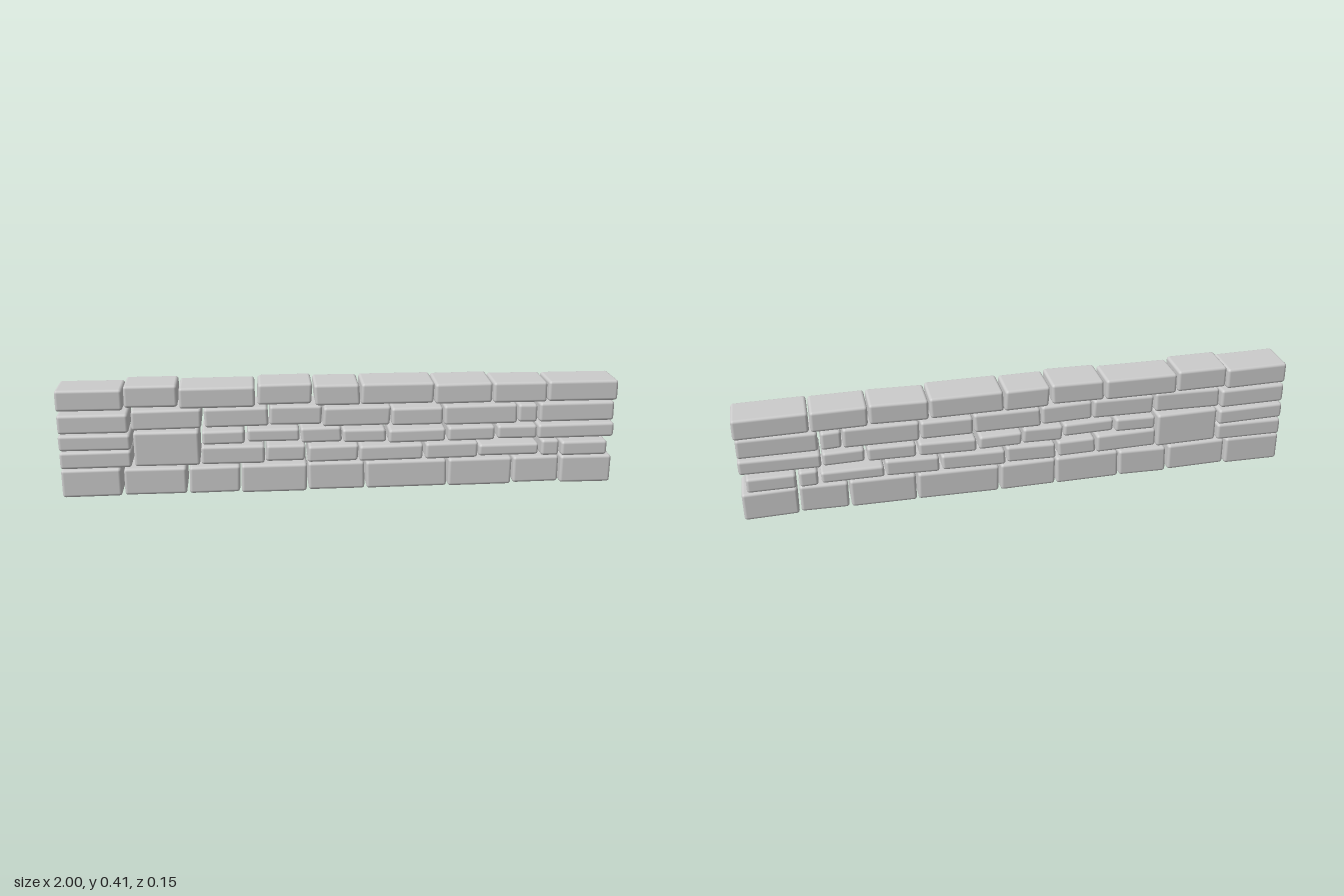
import * as THREE from 'three';
import { RoundedBoxGeometry } from 'three/addons/geometries/RoundedBoxGeometry.js';

// Each stone: [left, right, bottom, top], one list per course
const bottomCourse = [
  [-1, -0.79, 0.006, 0.11], [-0.78, -0.56, 0.01, 0.11], [-0.55, -0.37, 0.008, 0.108],
  [-0.365, -0.13, 0.005, 0.11], [-0.125, 0.078, 0.007, 0.11], [0.085, 0.378, 0.006, 0.108],
  [0.385, 0.618, 0.006, 0.11], [0.625, 0.793, 0.01, 0.11], [0.8, 0.99, 0.004, 0.108],
];
const secondCourse = [
  [-1, -0.75, 0.113, 0.176], [-0.505, -0.28, 0.118, 0.186], [-0.275, -0.135, 0.12, 0.18],
  [-0.125, 0.055, 0.115, 0.176], [0.06, 0.29, 0.112, 0.17], [0.3, 0.49, 0.114, 0.174],
  [0.495, 0.715, 0.116, 0.16], [0.725, 0.79, 0.112, 0.172], [0.8, 0.97, 0.11, 0.165],
];
const thirdCourse = [
  [-1, -0.75, 0.18, 0.238], [-0.5, -0.35, 0.192, 0.243], [-0.34, -0.155, 0.198, 0.246],
  [-0.15, -0.005, 0.187, 0.244], [0, 0.155, 0.184, 0.234], [0.165, 0.37, 0.18, 0.23],
  [0.38, 0.55, 0.181, 0.234], [0.56, 0.705, 0.184, 0.234], [0.71, 0.99, 0.18, 0.234],
];
const fourthCourse = [
  [-1, -0.755, 0.244, 0.314], [-0.745, -0.5, 0.252, 0.325], [-0.49, -0.265, 0.255, 0.325],
  [-0.26, -0.075, 0.255, 0.325], [-0.07, 0.17, 0.247, 0.318], [0.175, 0.36, 0.244, 0.31],
  [0.365, 0.63, 0.241, 0.314], [0.635, 0.705, 0.243, 0.31], [0.715, 0.99, 0.238, 0.31],
];
const topCourse = [
  [-1, -0.77, 0.325, 0.402], [-0.765, -0.58, 0.332, 0.412], [-0.575, -0.31, 0.326, 0.402],
  [-0.3, -0.11, 0.332, 0.408], [-0.1, 0.06, 0.325, 0.402], [0.065, 0.325, 0.325, 0.402],
  [0.33, 0.535, 0.322, 0.397], [0.54, 0.735, 0.318, 0.394], [0.74, 0.995, 0.317, 0.393],
];

function seeded(seed) {
  return () => {
    seed = (seed * 16807) % 2147483647;
    return seed / 2147483647 * 2 - 1;
  };
}

export function createModel() {
  const wall = new THREE.Group();
  wall.name = 'stoneWall';
  const material = new THREE.MeshStandardMaterial({ color: 0xcccccc });
  const random = seeded(4711);

  // A bevelled stone whose faces lean very slightly out of square
  function addStone(parent, [x0, x1, y0, y1], name, halfDepth) {
    const w = x1 - x0, h = y1 - y0;
    const geometry = new RoundedBoxGeometry(w, h, halfDepth * 2, 2, 0.011);
    const leanX = random() * 0.003, leanY = random() * 0.002, leanZ = random() * 0.0015;
    const p = geometry.attributes.position;
    for (let i = 0; i < p.count; i++) {
      const u = p.getX(i) / w * 2, v = p.getY(i) / h * 2, t = p.getZ(i) / halfDepth;
      p.setXYZ(i, p.getX(i) + leanX * v * (1 - Math.abs(x0 + x1) / 2),
        p.getY(i) + leanY * t + leanZ * u, p.getZ(i) + leanZ * u);
    }
    const stone = new THREE.Mesh(geometry, material);
    stone.name = name;
    stone.position.set((x0 + x1) / 2, (y0 + y1) / 2, random() * 0.001);
    parent.add(stone);
  }

  const courses = [
    ['bottomCourse', bottomCourse, 0.0715], ['secondCourse', secondCourse, 0.0725],
    ['thirdCourse', thirdCourse, 0.0735], ['fourthCourse', fourthCourse, 0.0695],
    ['topCourse', topCourse, 0.0725],
  ];
  for (const [name, stones, halfDepth] of courses) {
    const course = new THREE.Group();
    course.name = name;
    stones.forEach((s, i) => {
      // The right end stone of the fourth course is set back
      const inset = name === 'fourthCourse' && i === stones.length - 1 ? 0.0075 : 0;
      addStone(course, s, 'stone' + (i + 1), halfDepth - inset + random() * 0.0015);
    });
    wall.add(course);
  }

  // Large square stone spanning two courses
  addStone(wall, [-0.74, -0.51, 0.116, 0.244], 'largeStone', 0.073);
  return wall;
}
